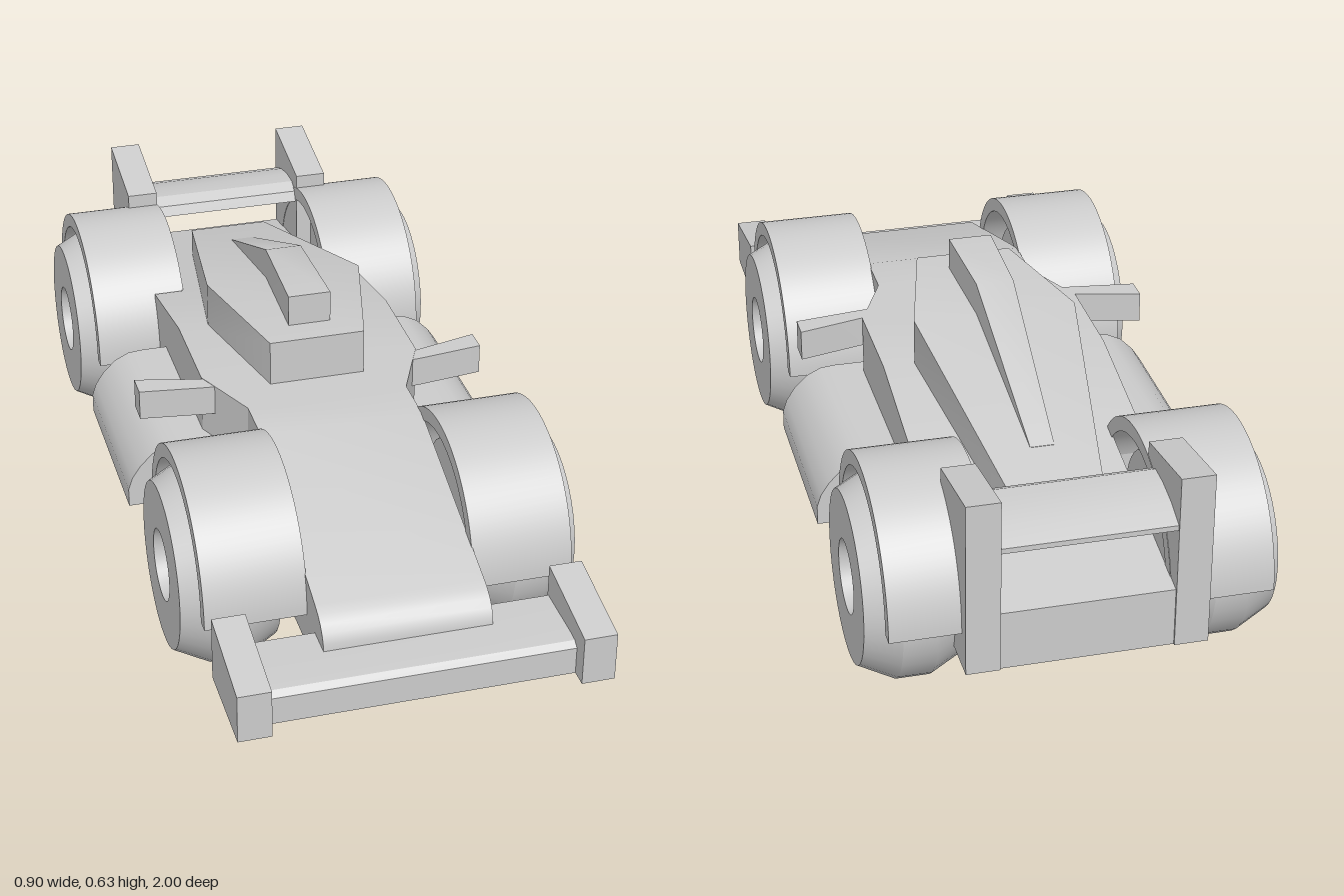
import * as THREE from 'three';
import { toCreasedNormals } from 'three/addons/utils/BufferGeometryUtils.js';

const material = new THREE.MeshStandardMaterial({ color: 0xcccccc });

function add(group, name, geometry) {
  const flat = geometry.index ? geometry.toNonIndexed() : geometry;
  const mesh = new THREE.Mesh(toCreasedNormals(flat, 0.42), material);
  mesh.name = name;
  group.add(mesh);
  return mesh;
}

// Rectangular sections joined from front to back; each is [z, halfWidth, bottom, top].
function loft(sections) {
  const rings = sections.map(([z, w, y0, y1]) => [[-w, y0, z], [w, y0, z], [w, y1, z], [-w, y1, z]]);
  const pos = [];
  const quad = (a, b, c, d) => pos.push(...a, ...b, ...c, ...a, ...c, ...d);
  for (let k = 0; k < rings.length - 1; k++) {
    const a = rings[k], b = rings[k + 1];
    for (let i = 0; i < 4; i++) {
      const j = (i + 1) % 4;
      quad(a[i], b[i], b[j], a[j]);
    }
  }
  const first = rings[0], last = rings[rings.length - 1];
  quad(...first);
  quad(last[3], last[2], last[1], last[0]);
  const g = new THREE.BufferGeometry();
  g.setAttribute('position', new THREE.Float32BufferAttribute(pos, 3));
  return g;
}

const polygon = (points) => new THREE.Shape(points.map(([x, y]) => new THREE.Vector2(x, y)));
const extrude = (shape, depth) =>
  new THREE.ExtrudeGeometry(shape, { depth, bevelEnabled: false, curveSegments: 24 });

// A (z, y) outline extruded across the car, centred on x.
const across = (shape, x, width) =>
  extrude(shape, width).rotateY(-Math.PI / 2).translate(x + width / 2, 0, 0);

export function createModel() {
  const car = new THREE.Group();
  car.name = 'raceCar';

  // Body: rounded nose, flared cockpit, narrow sloping tail
  const deck = (z) => 0.445 - Math.max(0, -0.2 - z) * 0.2;
  const nose = [];
  for (let i = 0; i <= 5; i++) {
    const a = (i / 5) * 1.25;
    nose.push([0.85 - 0.07 * (1 - Math.cos(a)) / (1 - Math.cos(1.25)), 0.188, 0.15,
      0.225 + 0.075 * Math.sin(a) / Math.sin(1.25)]);
  }
  add(car, 'body', loft([
    ...nose,
    [0.32, 0.188, 0.15, 0.445],
    [0.2, 0.188, 0.15, 0.445],
    [0.04, 0.26, 0.15, 0.445],
    [-0.2, 0.26, 0.15, deck(-0.2)],
    [-0.48, 0.26, 0.15, deck(-0.48)],
    [-0.48, 0.19, 0.15, deck(-0.48)],
    [-0.995, 0.19, 0.15, deck(-0.995)],
  ]));

  // Engine cover and the fin on top of it
  add(car, 'engineCover', loft([
    [0.11, 0.112, 0.43, 0.553],
    [-0.2, 0.188, 0.43, 0.553],
    [-0.78, 0.097, 0.3, 0.397],
  ]));
  add(car, 'engineFin', loft([
    [0.04, 0.05, 0.54, 0.628],
    [-0.2, 0.043, 0.54, 0.628],
    [-0.62, 0.027, 0.41, 0.441],
  ]));

  // Front wing bar with a softened top
  add(car, 'frontWing', across(polygon([
    [0.78, 0.15], [0.96, 0.15], [0.96, 0.215], [0.945, 0.226], [0.92, 0.228], [0.78, 0.228],
  ]), 0, 0.7));

  // Rear wing blade, thick at the front and sloping down to the back
  add(car, 'rearWing', across(polygon([
    [-0.79, 0.44], [-0.8, 0.465], [-0.83, 0.48], [-0.88, 0.478],
    [-0.94, 0.465], [-0.995, 0.442], [-0.995, 0.43], [-0.88, 0.43], [-0.82, 0.425],
  ]), 0, 0.39));

  for (const s of [-1, 1]) {
    const side = s > 0 ? 'left' : 'right';

    // Wing end plates
    add(car, side + 'FrontEndPlate', across(polygon([
      [0.775, 0.15], [1, 0.15], [1, 0.265], [0.775, 0.302],
    ]), s * 0.375, 0.074));
    add(car, side + 'RearEndPlate', across(polygon([
      [-0.78, 0.15], [-1, 0.15], [-1, 0.555], [-0.78, 0.517],
    ]), s * 0.224, 0.074));

    // Side pod with a rounded shoulder
    add(car, side + 'SidePod', extrude(polygon([
      [0.2, 0.15], [0.45, 0.15], [0.45, 0.195], [0.44, 0.225], [0.42, 0.255],
      [0.39, 0.285], [0.355, 0.302], [0.32, 0.305], [0.2, 0.305],
    ].map(([x, y]) => [s * x, y])), 0.445).translate(0, 0, -0.36));

    // Mirror on a swept arm
    add(car, side + 'Mirror', extrude(polygon([
      [0.2, 0.09], [0.26, 0.085], [0.412, 0.065], [0.412, 0.008], [0.26, 0.045], [0.2, 0.045],
    ].map(([x, z]) => [s * x, z])), 0.072).rotateX(Math.PI / 2).translate(0, 0.444, 0));

    for (const [end, z] of [['Front', 0.45], ['Rear', -0.7]]) {
      // Wheel with chamfered tread and a recessed hub
      const wheel = new THREE.LatheGeometry([
        [0, -0.1125], [0.19, -0.1125], [0.228, -0.037], [0.228, 0.037],
        [0.19, 0.1125], [0.082, 0.1125], [0.065, 0.06], [0, 0.06],
      ].map(([r, y]) => new THREE.Vector2(r, y)), 40);
      add(car, side + end + 'Wheel', wheel.rotateZ(-s * Math.PI / 2).translate(s * 0.3375, 0.228, z));

      // Axle stub
      add(car, side + end + 'Axle', new THREE.CylinderGeometry(0.06, 0.06, 0.08, 20)
        .rotateZ(Math.PI / 2).translate(s * 0.2, 0.228, z));

      // Half-round fender over the wheel
      const arch = new THREE.Shape();
      arch.absarc(z, 0.23, 0.266, 0, Math.PI, false);
      arch.absarc(z, 0.23, 0.233, Math.PI, 0, true);
      add(car, side + end + 'Fender', across(arch, s * 0.3, 0.228));
    }
  }
  return car;
}
